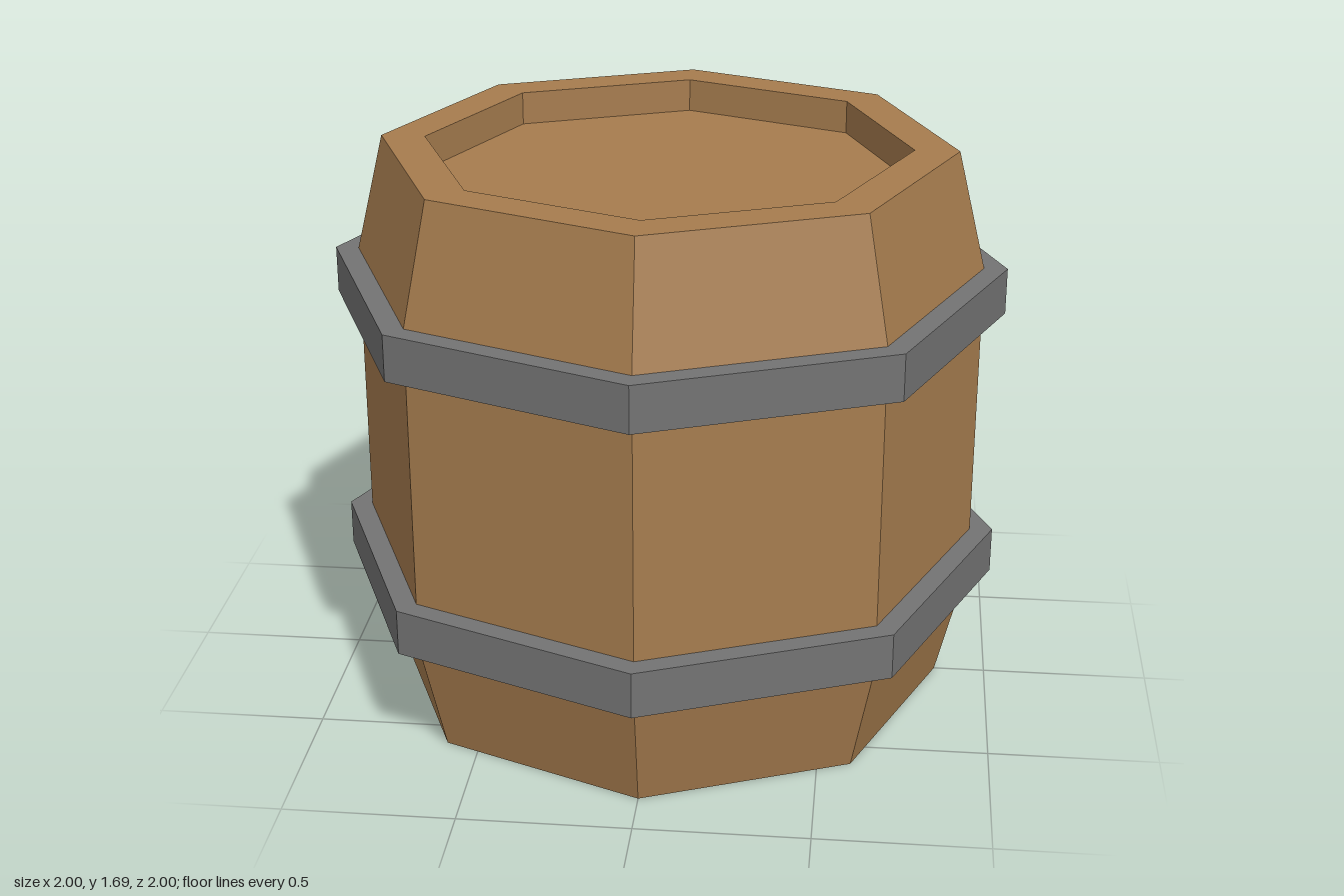
import * as THREE from 'three';

const SIDES = 8;
const HEIGHT = 1.69;

// Faceted ring-shaped solid from a profile of [radius, y] points, listed counter-clockwise
function turned(name, profile, material) {
  const points = profile.map(([r, y]) => new THREE.Vector2(r, y));
  const mesh = new THREE.Mesh(new THREE.LatheGeometry(points, SIDES), material);
  mesh.name = name;
  return mesh;
}

export function createModel() {
  const group = new THREE.Group();
  group.name = 'barrel';
  const wood = new THREE.MeshStandardMaterial({ color: 0xa67c4e, flatShading: true });
  const metal = new THREE.MeshStandardMaterial({ color: 0x737373, flatShading: true });

  // Wooden body: recessed lid, rim and tapered end, mirrored top and bottom
  const lower = [[0, 0.1], [0.715, 0.1], [0.715, 0], [0.845, 0], [0.932, 0.355]];
  const upper = lower.map(([r, y]) => [r, HEIGHT - y]).reverse();
  group.add(turned('body', [...lower, ...upper], wood));

  // Metal hoops
  const hoops = { lowerHoop: 0.355, upperHoop: 1.2 };
  for (const [name, y] of Object.entries(hoops)) {
    const top = y + 0.138;
    group.add(turned(name, [[0.92, y], [1, y], [1, top], [0.92, top]], metal));
  }
  return group;
}
